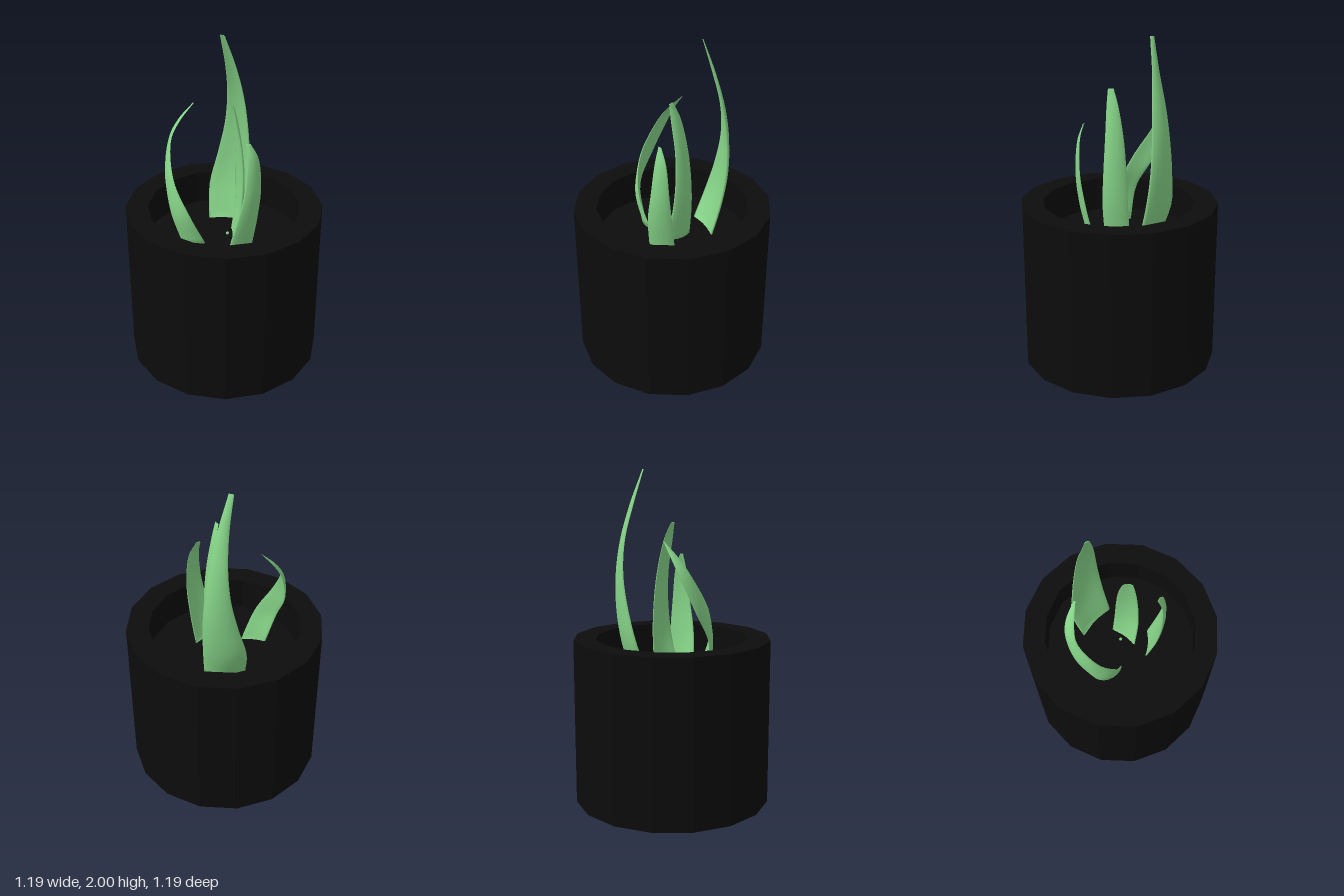
import * as THREE from 'three';

const potMat = new THREE.MeshStandardMaterial({ color: 0x0c0c0c, flatShading: true });
const soilMat = new THREE.MeshStandardMaterial({ color: 0x0c0c0c });
const baseMat = new THREE.MeshStandardMaterial({ color: 0x161616 });
const leafMat = new THREE.MeshStandardMaterial({ color: 0x86d488 });

const SIDES = 16, SOIL_Y = 0.79;

function add(group, name, geometry, material) {
  const mesh = new THREE.Mesh(geometry, material);
  mesh.name = name;
  group.add(mesh);
  return mesh;
}

// Lofts a curved blade. Each row is [y, x1, z1, x2, z2]: the two edges of the
// blade at that height. The section is a thin lens bowed to one side.
function leafGeometry(rows, steps = 24, around = 14) {
  const edgeA = new THREE.CatmullRomCurve3(rows.map(r => new THREE.Vector3(r[1], r[0], r[2])));
  const edgeB = new THREE.CatmullRomCurve3(rows.map(r => new THREE.Vector3(r[3], r[0], r[4])));
  const positions = [], index = [];
  for (let i = 0; i <= steps; i++) {
    const a = edgeA.getPoint(i / steps), b = edgeB.getPoint(i / steps);
    const mid = a.clone().add(b).multiplyScalar(0.5);
    const d = b.clone().sub(a);
    for (let j = 0; j < around; j++) {
      const t = (j / around) * Math.PI * 2;
      const u = Math.cos(t) / 2;
      const bow = 0.12 * Math.sin(t) ** 2 + 0.07 * Math.sin(t);
      positions.push(mid.x + d.x * u + d.z * bow, mid.y + d.y * u, mid.z + d.z * u - d.x * bow);
    }
  }
  for (let i = 0; i < steps; i++) {
    for (let j = 0; j < around; j++) {
      const k = (j + 1) % around;
      const a = i * around + j, b = i * around + k;
      index.push(a, b, b + around, a, b + around, a + around);
    }
  }
  // end caps
  const top = steps * around;
  for (let j = 1; j < around - 1; j++) {
    index.push(top, top + j, top + j + 1);
    index.push(0, j + 1, j);
  }
  const g = new THREE.BufferGeometry();
  g.setAttribute('position', new THREE.Float32BufferAttribute(positions, 3));
  g.setIndex(index);
  g.computeVertexNormals();
  return g;
}

const leaves = {
  tallLeaf: [
    [0.79, -0.22, -0.085, -0.03, -0.24],
    [1.0, -0.275, -0.15, -0.06, -0.285],
    [1.2, -0.257, -0.205, -0.08, -0.31],
    [1.4, -0.23, -0.24, -0.093, -0.305],
    [1.6, -0.204, -0.235, -0.103, -0.275],
    [1.8, -0.177, -0.19, -0.12, -0.222],
    [2.0, -0.163, -0.132, -0.135, -0.142],
  ],
  middleLeaf: [
    [0.79, -0.035, -0.1, 0.085, 0.025],
    [1.0, -0.018, -0.115, 0.113, -0.025],
    [1.2, -0.01, -0.11, 0.113, -0.045],
    [1.4, 0.0, -0.09, 0.1, -0.04],
    [1.6, 0.022, -0.05, 0.08, -0.01],
    [1.69, 0.036, -0.01, 0.068, 0.002],
  ],
  smallLeaf: [
    [0.79, 0.18, -0.06, 0.14, 0.11],
    [1.0, 0.225, -0.055, 0.2, 0.1],
    [1.2, 0.255, -0.045, 0.232, 0.07],
    [1.4, 0.248, -0.025, 0.228, 0.045],
    [1.49, 0.217, 0.01, 0.202, 0.03],
  ],
  curledLeaf: [
    [0.79, -0.015, 0.145, -0.15, 0.22],
    [1.0, -0.06, 0.23, -0.2, 0.258],
    [1.2, -0.17, 0.248, -0.295, 0.195],
    [1.4, -0.272, 0.17, -0.33, 0.11],
    [1.5, -0.272, 0.1, -0.312, 0.06],
    [1.6, -0.246, 0.004, -0.256, 0.0],
  ],
};

export function createModel() {
  const model = new THREE.Group();
  model.name = 'pottedPlant';

  // faceted pot with a thick wall
  const profile = [[0.295, 0], [0.595, 0], [0.595, 1.005], [0.46, 1.005], [0.46, SOIL_Y]];
  add(model, 'pot', new THREE.LatheGeometry(profile.map(p => new THREE.Vector2(...p)), SIDES), potMat);

  // soil and the round patch under the pot
  const soil = add(model, 'soil', new THREE.CircleGeometry(0.47, 32).rotateX(-Math.PI / 2), soilMat);
  soil.position.y = SOIL_Y + 0.005;
  const patch = add(model, 'underside', new THREE.CircleGeometry(0.3, 32).rotateX(Math.PI / 2), baseMat);
  patch.position.y = 0.002;

  // leaves around a tiny bud
  const plant = new THREE.Group();
  plant.name = 'leaves';
  for (const [name, rows] of Object.entries(leaves)) add(plant, name, leafGeometry(rows), leafMat);
  add(plant, 'bud', new THREE.SphereGeometry(0.01, 10, 8), leafMat).position.set(0.005, SOIL_Y + 0.01, -0.025);
  model.add(plant);

  return model;
}
